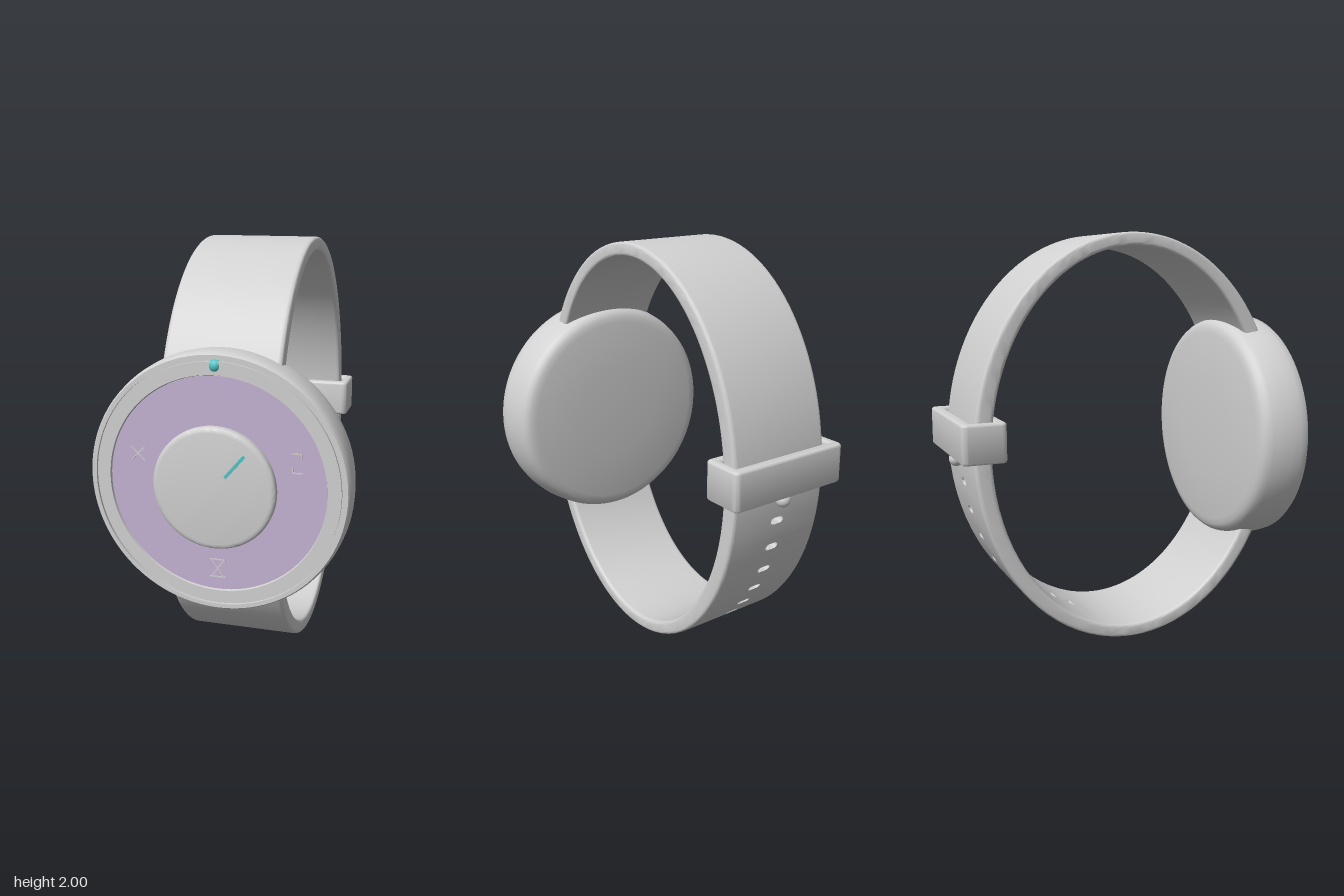
import * as THREE from 'three';
import { mergeGeometries, toCreasedNormals } from 'three/addons/utils/BufferGeometryUtils.js';

const material = (name, color) => {
  const m = new THREE.MeshStandardMaterial({ color });
  m.name = name;
  return m;
};

export function createModel() {
  const grey = material('light grey', 0xd0d1d0);
  const purple = material('soft purple', 0xc4b2d4);
  const teal = material('teal', 0x4fc4c6);

  const model = new THREE.Group();
  model.name = 'wristwatch';
  const add = (name, geo, mat, x = 0, y = 0, z = 0, parent = model) => {
    const mesh = new THREE.Mesh(geo, mat);
    mesh.name = name;
    mesh.position.set(x, y, z);
    parent.add(mesh);
    return mesh;
  };

  // Round parts: profile of [radius, z], turned to face the front
  const turned = (points) => {
    const geo = new THREE.LatheGeometry(points.map(([r, z]) => new THREE.Vector2(r, z)), 96);
    geo.rotateX(Math.PI / 2);
    return toCreasedNormals(geo.toNonIndexed(), 0.6);
  };

  // Case with a grooved bezel and a shallow dial recess
  add('case', turned([
    [0, 0.535], [0.25, 0.54], [0.5, 0.552], [0.53, 0.558], [0.55, 0.568], [0.563, 0.585],
    [0.572, 0.61], [0.58, 0.66], [0.586, 0.71], [0.585, 0.76], [0.58, 0.795], [0.573, 0.805],
    [0.554, 0.805], [0.554, 0.793], [0.546, 0.793], [0.546, 0.805], [0.488, 0.805],
    [0.484, 0.79], [0, 0.79],
  ]), grey, 0, 1, 0);
  add('dial', new THREE.RingGeometry(0.26, 0.484, 96), purple, 0, 1, 0.797);
  add('centreButton', turned([
    [0, 0.78], [0.266, 0.78], [0.266, 0.805], [0.273, 0.812], [0.274, 0.835],
    [0.27, 0.844], [0.262, 0.849], [0.25, 0.851], [0, 0.851],
  ]), grey, 0, 1, 0);
  add('markerBead', new THREE.SphereGeometry(0.03, 24, 16), teal, 0, 1.525, 0.785);

  // Thin straight strokes for the hand and the dial signs
  const stroke = (name, x0, y0, x1, y1, z, width, mat, parent) => {
    const geo = new THREE.BoxGeometry(Math.hypot(x1 - x0, y1 - y0), width, 0.006);
    add(name, geo, mat, (x0 + x1) / 2, (y0 + y1) / 2, z, parent)
      .rotation.z = Math.atan2(y1 - y0, x1 - x0);
  };
  stroke('hand', 0.055, 1.06, 0.14, 1.16, 0.853, 0.014, teal, model);
  const signs = {
    crossSign: [[-0.385, 1.15, -0.325, 1.09], [-0.385, 1.09, -0.325, 1.15]],
    hourglassSign: [[-0.035, 0.657, 0.035, 0.657], [-0.035, 0.575, 0.035, 0.575],
      [-0.028, 0.657, 0.028, 0.575], [0.028, 0.657, -0.028, 0.575]],
    repeatSign: [[0.33, 1.172, 0.375, 1.172], [0.375, 1.172, 0.375, 1.15],
      [0.335, 1.088, 0.38, 1.088], [0.335, 1.088, 0.335, 1.11]],
  };
  for (const [name, lines] of Object.entries(signs)) {
    const group = new THREE.Group();
    group.name = name;
    model.add(group);
    for (const line of lines) stroke(name + 'Stroke', ...line, 0.797, 0.005, grey, group);
  }

  // Strap: flat pieces (x across, t angle, h inner to outer) bent onto an ellipse
  const bend = (geo, toFlat) => {
    const p = geo.attributes.position;
    for (let i = 0; i < p.count; i++) {
      const [x, t, h] = toFlat(p.getX(i), p.getY(i), p.getZ(i));
      p.setXYZ(i, x, 1 + (0.935 + 0.065 * h) * Math.sin(t), 0.02 + (0.72 + 0.085 * h) * Math.cos(t));
    }
    return geo;
  };
  // Length of strap between two angles, each side edge rounded or square
  const strip = (x0, x1, round0, round1, t0, t1, steps) => {
    const a = round0 ? 0.02 : 0, b = round1 ? 0.02 : 0, ha = a * 13, hb = b * 13;
    const s = new THREE.Shape();
    s.moveTo(x0 + a, 0);
    s.lineTo(x1 - b, 0);
    if (b) s.quadraticCurveTo(x1, 0, x1, hb);
    s.lineTo(x1, 1 - hb);
    if (b) s.quadraticCurveTo(x1, 1, x1 - b, 1);
    s.lineTo(x0 + a, 1);
    if (a) s.quadraticCurveTo(x0, 1, x0, 1 - ha);
    s.lineTo(x0, ha);
    if (a) s.quadraticCurveTo(x0, 0, x0 + a, 0);
    const geo = new THREE.ExtrudeGeometry(s, { depth: t1 - t0, steps, curveSegments: 5, bevelEnabled: false });
    return bend(geo, (x, h, d) => [x, t1 - d, h]);
  };
  // Short middle piece, with or without a slot
  const cellLength = 0.074;
  const cell = (t, slotted) => {
    const w = 0.05, l = cellLength / 2;
    const s = new THREE.Shape();
    s.moveTo(-w, -l).lineTo(w, -l).lineTo(w, l).lineTo(-w, l);
    if (slotted) {
      const hole = new THREE.Path();
      hole.absarc(0.018, 0, 0.018, Math.PI / 2, -Math.PI / 2, true);
      hole.absarc(-0.018, 0, 0.018, -Math.PI / 2, -Math.PI * 1.5, true);
      s.holes.push(hole);
    }
    const geo = new THREE.ExtrudeGeometry(s, { depth: 1, curveSegments: 8, bevelEnabled: false });
    return bend(geo, (x, d, h) => [x, t + d, h]);
  };
  const W = 0.265, holeStart = Math.PI + 0.143, holeEnd = holeStart + 16 * cellLength;
  const pieces = [
    strip(-W, W, true, true, 0.5, holeStart, 64),
    strip(-W, W, true, true, holeEnd, Math.PI * 2 - 0.5, 32),
    strip(-W, -0.05, true, false, holeStart, holeEnd, 16),
    strip(0.05, W, false, true, holeStart, holeEnd, 16),
  ];
  for (let i = 0; i < 16; i++) pieces.push(cell(holeStart + (i + 0.5) * cellLength, i % 2 === 0));
  add('strap', toCreasedNormals(mergeGeometries(pieces), 0.6), grey);

  // Keeper loop around the strap, with rounded corners
  const loop = new THREE.Shape();
  const X = 0.316, z0 = 0.64, z1 = 0.853, r = 0.03;
  loop.moveTo(-X + r, z0).lineTo(X - r, z0);
  loop.quadraticCurveTo(X, z0, X, z0 + r).lineTo(X, z1 - r);
  loop.quadraticCurveTo(X, z1, X - r, z1).lineTo(-X + r, z1);
  loop.quadraticCurveTo(-X, z1, -X, z1 - r).lineTo(-X, z0 + r);
  loop.quadraticCurveTo(-X, z0, -X + r, z0);
  const opening = new THREE.Path();
  opening.moveTo(-0.272, 0.69).lineTo(-0.272, 0.8).lineTo(0.272, 0.8).lineTo(0.272, 0.69);
  loop.holes.push(opening);
  const bevel = 0.014;
  const keeper = new THREE.ExtrudeGeometry(loop, {
    depth: 0.188 - 2 * bevel, curveSegments: 6, bevelThickness: bevel,
    bevelSize: bevel, bevelOffset: -bevel, bevelSegments: 4,
  });
  keeper.rotateX(-Math.PI / 2);
  add('keeperLoop', toCreasedNormals(keeper, 0.6), grey, 0, 0.96 + bevel, 0);

  // Closing pin below the loop
  add('pinHead', new THREE.SphereGeometry(0.036, 24, 16), grey, 0, 0.936, -0.805);

  return model;
}
